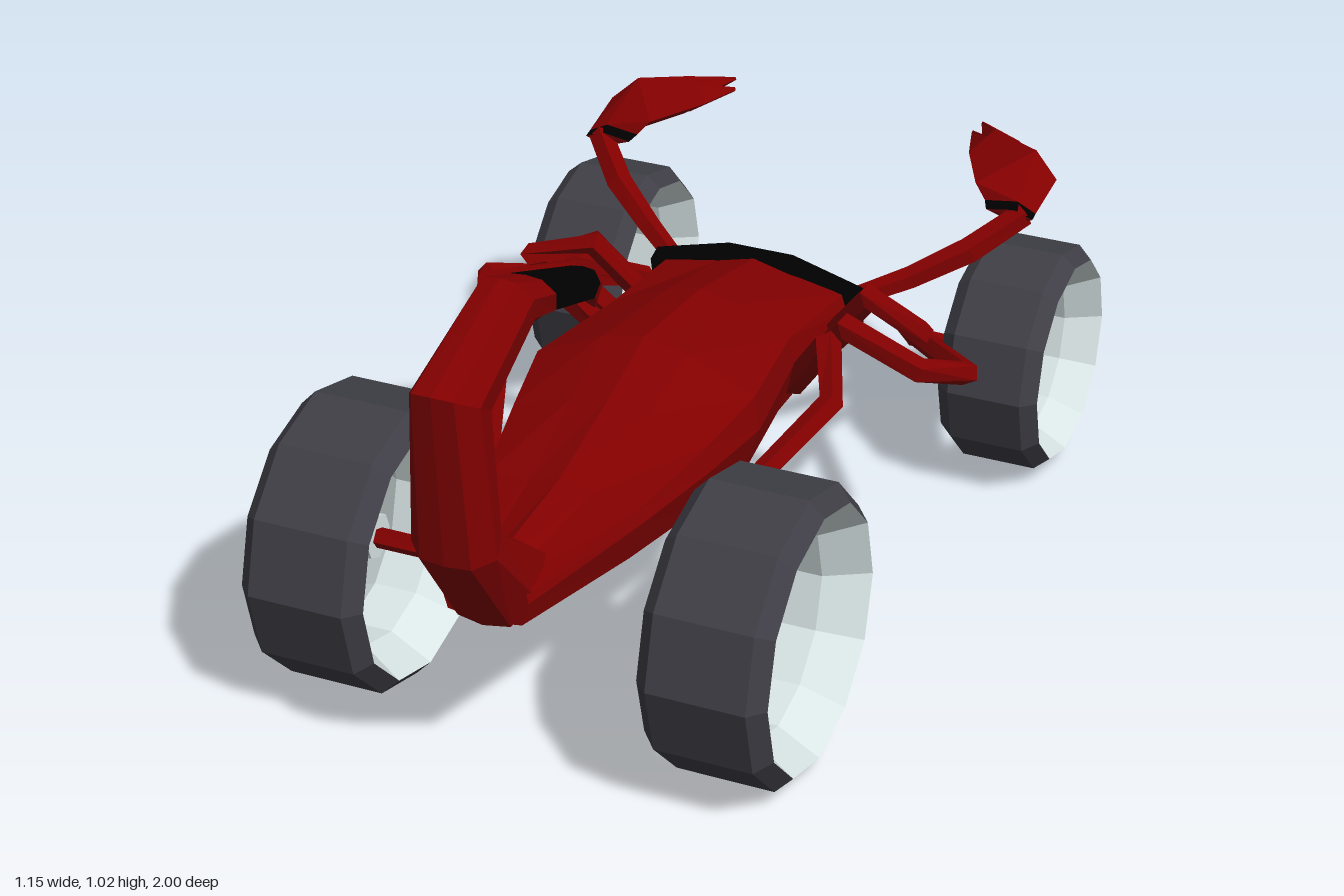
import * as THREE from 'three';

const mat = (name, color, extra = {}) => {
  const m = new THREE.MeshStandardMaterial({ color, flatShading: true, ...extra });
  m.name = name;
  return m;
};
const V = (p) => new THREE.Vector3(...p);

// Skin a row of equal-sized rings; isSecond(segment, strip) picks the second material
function loft(name, rings, mats, isSecond = () => false) {
  const lists = [[], []], n = rings[0].length;
  const add = (k, ...tri) => lists[k].push(tri);
  for (let s = 0; s < rings.length - 1; s++) {
    for (let i = 0; i < n; i++) {
      const j = (i + 1) % n, k = isSecond(s, i) ? 1 : 0;
      add(k, rings[s][i], rings[s + 1][i], rings[s + 1][j]);
      add(k, rings[s][i], rings[s + 1][j], rings[s][j]);
    }
  }
  for (const [r, end] of [[rings[0], 0], [rings[rings.length - 1], 1]]) {
    const c = r.reduce((a, p) => a.add(p), new THREE.Vector3()).divideScalar(n);
    for (let i = 0; i < n; i++) {
      const j = (i + 1) % n;
      if (end) add(0, c, r[j], r[i]);
      else add(0, c, r[i], r[j]);
    }
  }
  // Turn the faces outward whatever the ring direction
  const tris = [...lists[0], ...lists[1]], o = rings[0][0];
  const volume = tris.reduce((sum, [a, b, c]) => sum + a.clone().sub(o).dot(
    b.clone().sub(o).cross(c.clone().sub(o))), 0);
  const pos = [];
  for (const [a, b, c] of tris) {
    for (const p of volume > 0 ? [a, b, c] : [a, c, b]) pos.push(p.x, p.y, p.z);
  }
  const g = new THREE.BufferGeometry();
  g.setAttribute('position', new THREE.Float32BufferAttribute(pos, 3));
  g.computeVertexNormals();
  if (Array.isArray(mats)) {
    g.addGroup(0, lists[0].length * 3, 0);
    g.addGroup(lists[0].length * 3, lists[1].length * 3, 1);
  }
  const mesh = new THREE.Mesh(g, mats);
  mesh.name = name;
  return mesh;
}

// Complete a half outline (first and last point on x = 0) with its mirror image
const mirrored = (half) => [...half, ...half.slice(1, -1).reverse().map(([x, y, z]) => [-x, y, z])].map(V);

// Five-sided bar along a bent path with one radius per point
function bar(name, path, radii, m) {
  const pts = path.map(V);
  const rings = pts.map((p, i) => {
    const t = pts[Math.min(i + 1, pts.length - 1)].clone().sub(pts[Math.max(i - 1, 0)]).normalize();
    const side = new THREE.Vector3(0, 1, 0).cross(t).normalize();
    const up = t.clone().cross(side);
    return Array.from({ length: 5 }, (_, k) => {
      const a = k / 5 * Math.PI * 2;
      return p.clone().addScaledVector(side, Math.cos(a) * radii[i]).addScaledVector(up, Math.sin(a) * radii[i]);
    });
  });
  return loft(name, rings, m);
}

export function createModel() {
  const model = new THREE.Group();
  model.name = 'scorpionBuggy';
  const red = mat('red shell', 0x820000);
  const black = mat('black trim', 0x000000);
  const rubber = mat('grey rubber', 0x3f3e46, { side: THREE.DoubleSide });
  const metal = mat('pale metal', 0xd8e4e4, { side: THREE.DoubleSide });

  // Body: [z, half width, top, shoulder, bottom]
  const body = [
    [0.82, 0.088, 0.47, 0.43, 0.372], [0.5, 0.165, 0.5, 0.44, 0.35], [0.28, 0.212, 0.558, 0.45, 0.342],
    [0.12, 0.24, 0.61, 0.46, 0.335], [-0.15, 0.2, 0.585, 0.46, 0.337], [-0.42, 0.205, 0.525, 0.45, 0.345],
    [-0.47, 0.18, 0.49, 0.44, 0.36],
  ].map(([z, w, t, s, b]) => mirrored([
    [0, t, z], [w * 0.38, t - 0.02, z], [w * 0.95, s + (t - s) * 0.45, z],
    [w, s, z], [w * 0.84, b + 0.01, z], [w * 0.3, b + 0.003, z], [0, b, z],
  ]));
  // Black belly with a red patch along its middle
  model.add(loft('body', body, [red, black], (s, i) =>
    (i === 7 && s >= 1) || (i === 4 && s >= 2) || ((i === 5 || i === 6) && s >= 3)));

  // Head cap: stations across x, arched at the rear and pointed at the nose
  const head = [-0.225, -0.17, -0.07, 0.07, 0.17, 0.225].map((x) => {
    const k = Math.abs(x) / 0.225;
    const nose = k < 0.5 ? -0.54 : k < 0.9 ? -0.505 : -0.48;
    const top = 0.545 - 0.05 * k;
    return [[x, top - 0.012, -0.45 + 0.04 * k], [x, top, -0.465 + 0.02 * k], [x, 0.47, nose],
      [x, 0.42, nose + 0.01], [x, 0.37 + 0.03 * k, -0.46], [x, 0.4, -0.43]].map(V);
  });
  model.add(loft('headCap', head, black));

  // Tail: [outer y, outer z, inner y, inner z, half width]
  const tail = [
    [0.37, 0.83, 0.48, 0.7, 0.088], [0.57, 0.97, 0.6, 0.87, 0.084], [0.92, 1.0, 0.84, 0.87, 0.068],
    [1.02, 0.73, 0.92, 0.68, 0.056], [0.98, 0.63, 0.895, 0.59, 0.053],
    [0.885, 0.39, 0.83, 0.41, 0.038], [0.86, 0.35, 0.81, 0.38, 0.025], [0.78, 0.345, 0.785, 0.35, 0.004],
  ].map(([oy, oz, iy, iz, w]) => mirrored(
    [[0, 0], [0.6, 0.05], [1, 0.4], [0.8, 0.92], [0, 1]].map(([x, v]) => [x * w, oy + (iy - oy) * v, oz + (iz - oz) * v])));
  model.add(loft('tail', tail, [red, black], (s, i) => s === 4 && i !== 3 && i !== 4));

  for (const s of [1, -1]) {
    const side = s > 0 ? 'left' : 'right';
    const flip = (pts) => pts.map(([x, y, z]) => [s * x, y, z]);
    const limb = (name, pts, radii) => model.add(bar(side + name, flip(pts), radii, red));

    // Suspension legs rise from the lower flank, thicker near the body
    limb('FrontWheelLeg', [[0.18, 0.39, -0.19], [0.285, 0.54, -0.11], [0.352, 0.5, 0.04],
      [0.25, 0.385, 0.3], [0.225, 0.31, 0.5], [0.27, 0.29, 0.518], [0.38, 0.29, 0.518]],
    [0.026, 0.028, 0.026, 0.022, 0.022, 0.021, 0.021]);
    limb('RearWheelLeg', [[0.17, 0.39, -0.25], [0.3, 0.55, -0.175], [0.465, 0.51, -0.135], [0.523, 0.46, -0.25],
      [0.3, 0.37, -0.53], [0.27, 0.29, -0.65], [0.35, 0.255, -0.71], [0.46, 0.25, -0.76]],
    [0.026, 0.028, 0.026, 0.025, 0.022, 0.021, 0.02, 0.02]);
    limb('MiddleLeg', [[0.17, 0.39, -0.36], [0.3, 0.56, -0.295], [0.425, 0.52, -0.265], [0.36, 0.43, -0.43],
      [0.29, 0.37, -0.54]], [0.026, 0.027, 0.024, 0.022, 0.02]);

    // Claw arm and broad claw with a notched tip
    limb('ClawArm', [[0.17, 0.44, -0.46], [0.29, 0.48, -0.55], [0.39, 0.53, -0.62], [0.475, 0.59, -0.71]],
      [0.02, 0.024, 0.028, 0.026]);
    const claw = (name, rows, ...paint) => model.add(loft(side + name, rows.map((r) => flip(r).map(V)), ...paint));
    // The palm starts with a narrow black seam on its upper side
    claw('ClawPalm', [
      [[0.5, 0.59, -0.69], [0.46, 0.605, -0.69], [0.4, 0.595, -0.69], [0.46, 0.57, -0.7]],
      [[0.5, 0.595, -0.71], [0.46, 0.615, -0.71], [0.39, 0.605, -0.71], [0.46, 0.572, -0.72]],
      [[0.503, 0.62, -0.83], [0.45, 0.668, -0.85], [0.365, 0.635, -0.72], [0.43, 0.575, -0.79]],
      [[0.385, 0.64, -0.935], [0.34, 0.672, -0.9], [0.3, 0.63, -0.86], [0.35, 0.595, -0.87]],
    ], [red, black], (row, i) => row === 0 && i < 2);
    claw('OuterFinger', [
      [[0.385, 0.64, -0.935], [0.345, 0.67, -0.9], [0.32, 0.635, -0.89], [0.35, 0.605, -0.88]],
      [[0.285, 0.64, -0.995], [0.283, 0.643, -0.99], [0.281, 0.638, -0.99], [0.283, 0.635, -0.99]],
    ], red);
    claw('InnerFinger', [
      [[0.34, 0.635, -0.915], [0.33, 0.66, -0.89], [0.3, 0.63, -0.86], [0.34, 0.6, -0.87]],
      [[0.273, 0.628, -0.965], [0.272, 0.632, -0.962], [0.27, 0.627, -0.96], [0.272, 0.623, -0.962]],
    ], red);

    // Wheels: open twelve-sided tyre, flared rim and small hub
    for (const [name, x, y, z, r, half, hubR] of [
      ['FrontWheel', 0.402, 0.29, 0.516, 0.288, 0.127, 0.045],
      ['RearWheel', 0.4675, 0.25, -0.76, 0.238, 0.1075, 0.036],
    ]) {
      const wheel = new THREE.Group();
      wheel.name = side + name;
      const part = (partName, geometry, m) => {
        const mesh = new THREE.Mesh(geometry.rotateZ(-Math.PI / 2 * s), m);
        mesh.name = partName;
        wheel.add(mesh);
      };
      const lathe = (pts) => new THREE.LatheGeometry(pts.map((p) => new THREE.Vector2(...p)), 12);
      const edge = r * 0.89, inner = r * 0.72;
      part('tyre', lathe([[edge, -half], [r, -half + 0.03], [r, half - 0.03], [edge, half]]), rubber);
      part('rim', lathe([[edge, -half], [inner, -half * 0.35], [inner, half * 0.35], [edge, half]]), metal);
      part('hub', new THREE.CylinderGeometry(hubR, hubR, 0.05, 8), metal);
      wheel.position.set(s * x, y, z);
      model.add(wheel);
    }
  }
  return model;
}
